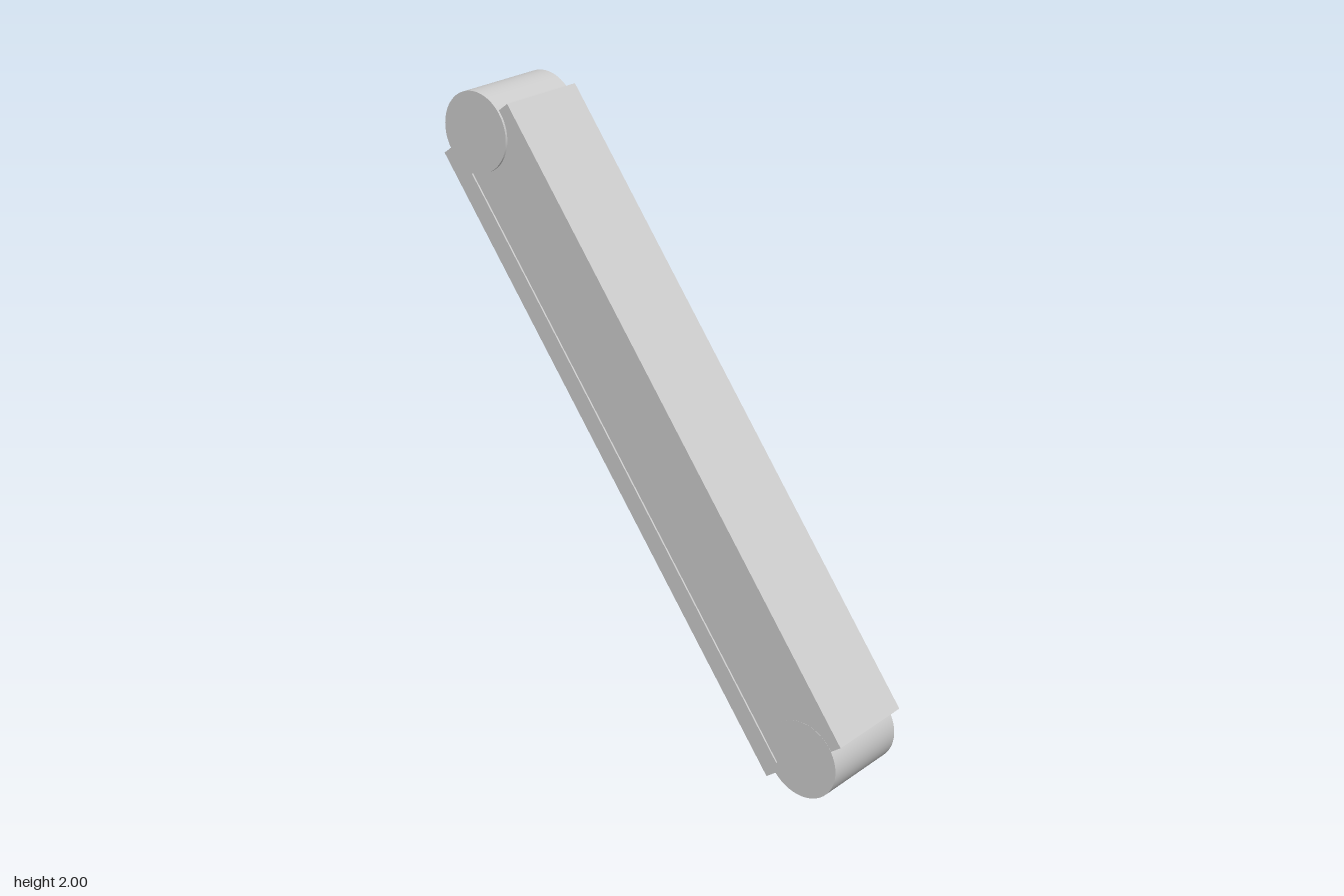
import * as THREE from 'three';

const material = new THREE.MeshStandardMaterial({ color: 0xcccccc });

function add(parent, name, geometry, x, y, z) {
  const mesh = new THREE.Mesh(geometry, material);
  mesh.name = name;
  mesh.position.set(x, y, z);
  parent.add(mesh);
  return mesh;
}

export function createModel() {
  const model = new THREE.Group();
  model.name = 'hingedLink';

  // The arm is built upright, then leaned back about its centre
  const arm = new THREE.Group();
  arm.name = 'arm';
  arm.position.y = 1;
  arm.rotation.x = -Math.atan2(0.6, 0.8);
  model.add(arm);

  // Long rectangular beam
  add(arm, 'beam', new THREE.BoxGeometry(0.307, 2.196, 0.348), 0, 0, 0);

  // Round pivots across both ends, the upper one slightly wider
  const pivot = (name, width, y) => {
    const geometry = new THREE.CylinderGeometry(0.13, 0.13, width, 64).rotateZ(Math.PI / 2);
    add(arm, name, geometry, 0, y, 0);
  };
  pivot('upperPivot', 0.322, 1.0875);
  pivot('lowerPivot', 0.308, -1.0875);

  // Thin raised rails along the rear of each side
  const bottom = -1.07, top = 0.99;
  for (const side of [-1, 1]) {
    const name = side > 0 ? 'leftRail' : 'rightRail';
    add(arm, name, new THREE.BoxGeometry(0.01, top - bottom, 0.055),
      side * 0.154, (top + bottom) / 2, -0.129);
  }

  return model;
}
